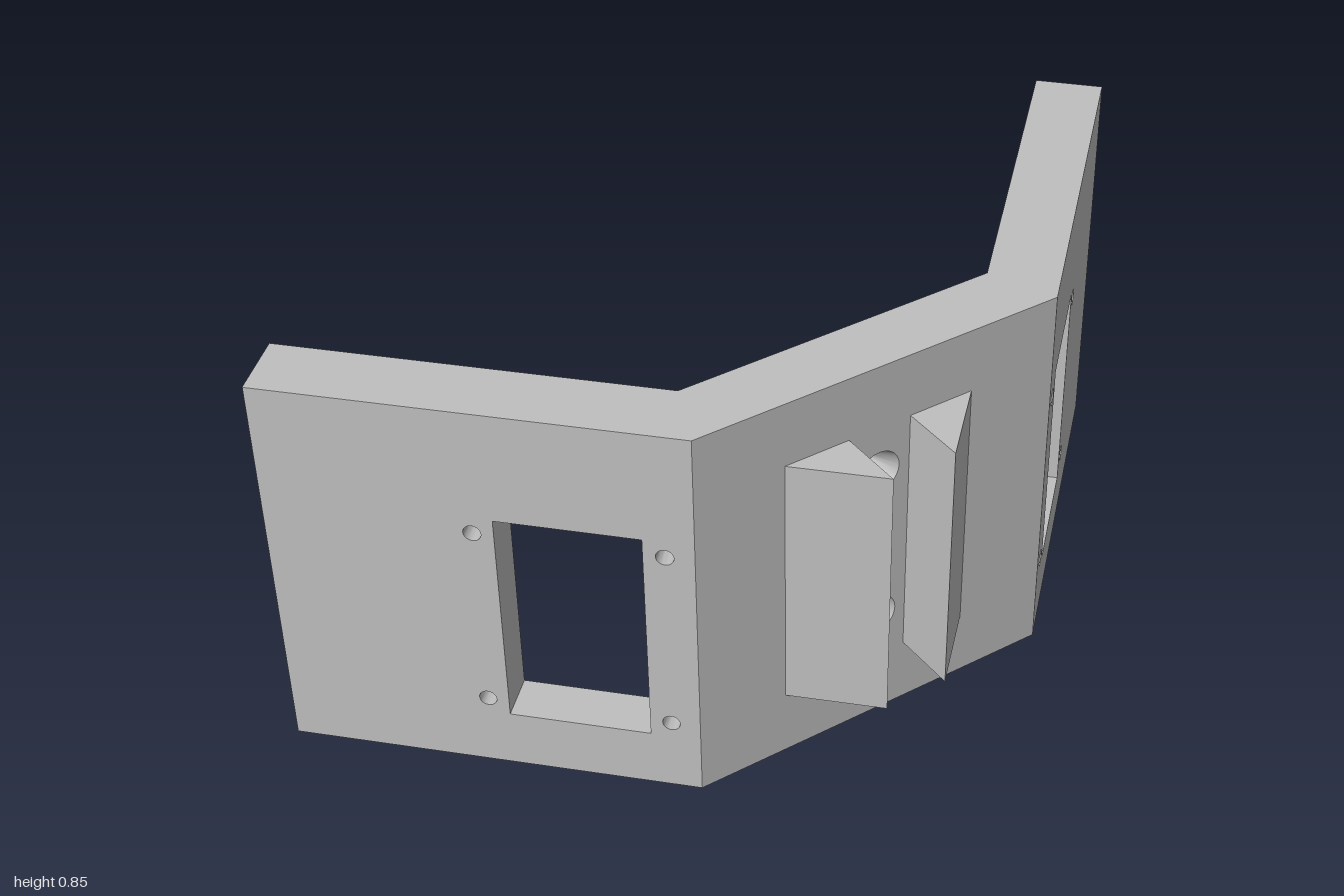
import * as THREE from 'three';
import { mergeGeometries, toCreasedNormals } from 'three/addons/utils/BufferGeometryUtils.js';

const H = 0.85, T = 0.142;        // plate height and thickness
const WING = 0.834, MITRE = 0.058; // wing length outside, and start of its inner face
const FRONT = 0.275;

const rectPoints = (x0, y0, x1, y1) => [[x0, y0], [x1, y0], [x1, y1], [x0, y1]].map(p => new THREE.Vector2(...p));
const circlePoints = (x, y, r, n = 24) => Array.from({ length: n }, (_, i) => {
  const a = i / n * Math.PI * 2;
  return new THREE.Vector2(x + r * Math.cos(a), y + r * Math.sin(a));
});

// Flat face with openings, facing +z
function face(points, holes = []) {
  const s = new THREE.Shape(points);
  holes.forEach(h => s.holes.push(new THREE.Path(h)));
  return new THREE.ShapeGeometry(s);
}

// Reverse the facing of an indexed geometry
function flip(g) {
  const a = g.index.array;
  for (let i = 0; i < a.length; i += 3) [a[i], a[i + 1]] = [a[i + 1], a[i]];
  return g;
}

// Inner walls of an opening, lofted through [points, depth] rings
function bore(rings) {
  const n = rings[0][0].length, pos = [], idx = [];
  rings.forEach(([pts, d]) => pts.forEach(p => pos.push(p.x, p.y, -d)));
  for (let k = 0; k < rings.length - 1; k++) for (let j = 0; j < n; j++) {
    const a = k * n + j, b = k * n + (j + 1) % n;
    idx.push(a, b, b + n, a, b + n, a + n);
  }
  const g = new THREE.BufferGeometry();
  g.setAttribute('position', new THREE.Float32BufferAttribute(pos, 3));
  g.setIndex(idx);
  return g;
}

const blindHole = (x, y, r, depth) => bore([
  [circlePoints(x, y, r), 0], [circlePoints(x, y, r), depth], [circlePoints(x, y, 0.0005), depth + 0.008]]);

function join(list) {
  list.forEach(g => { g.deleteAttribute('normal'); g.deleteAttribute('uv'); });
  return mergeGeometries(list);
}

// Angled wing with a window bevelled at the back, screw holes and end holes
function wingGeometry() {
  const r = 0.0175, b = 0.04;
  const win = rectPoints(0.099, 0.128, 0.382, 0.61);
  const winBack = rectPoints(0.099 - b, 0.128 - b, 0.382 + b, 0.61 + b);
  const screws = [0.057, 0.424].flatMap(u => [0.163, 0.575].map(y => [u, y]));
  const ends = [0.213, 0.638].map(y => [T / 2, y]);
  const endParts = [
    face(rectPoints(0, 0, T, H), ends.map(e => circlePoints(...e, r))),
    ...ends.map(e => blindHole(...e, r, 0.1))
  ].map(g => g.rotateY(Math.PI / 2).translate(WING, 0, 0));
  return join([
    face(rectPoints(0, 0, WING, H), [win, ...screws.map(s => circlePoints(...s, r))]),
    flip(face(rectPoints(MITRE, 0, WING, H), [winBack])).translate(0, 0, -T),
    bore([[win, 0], [win, 0.1], [winBack, T]]),
    ...screws.map(s => blindHole(...s, r, 0.06)),
    ...endParts
  ]).rotateY(Math.PI / 4).translate(0.41, 0, FRONT);
}

// Centre panel with two through holes, countersunk on both sides
function panelGeometry() {
  const ys = [0.25, 0.605], R = 0.047, r = 0.02, c = 0.045;
  const rims = ys.map(y => circlePoints(0, y, R));
  return join([
    face(rectPoints(-0.41, 0, 0.41, H), rims).translate(0, 0, FRONT),
    flip(face(rectPoints(-0.35, 0, 0.35, H), rims)).translate(0, 0, FRONT - T),
    ...ys.map(y => bore([[R, 0], [r, c], [r, T - c], [R, T]]
      .map(([rad, d]) => [circlePoints(0, y, rad), d])).translate(0, 0, FRONT))
  ]);
}

// Top or bottom face following the bent outline
function outlineGeometry() {
  const half = [[0.41, 0.275], [1, -0.315], [0.9, -0.417], [0.35, 0.133]];
  const all = [...half, ...half.map(([x, z]) => [-x, z]).reverse()];
  return face(all.map(([x, z]) => new THREE.Vector2(x, -z))).rotateX(-Math.PI / 2);
}

export function createModel() {
  const group = new THREE.Group();
  const grey = new THREE.MeshStandardMaterial({ color: 0xbfbfbf });
  grey.name = 'grey';
  const add = (name, geo) => {
    const mesh = new THREE.Mesh(toCreasedNormals(geo, 0.6), grey);
    mesh.name = name;
    group.add(mesh);
  };

  add('centrePanel', panelGeometry());
  add('topFace', outlineGeometry().translate(0, H, 0));
  add('bottomFace', flip(outlineGeometry()));
  add('leftWing', wingGeometry());
  add('rightWing', flip(wingGeometry().scale(-1, 1, 1)));

  // Triangular ribs on the front
  for (const [name, s] of [['leftRib', 1], ['rightRib', -1]]) {
    const tri = [[0.07, FRONT], [0.213, FRONT], [0.07, 0.417]].map(([x, z]) => new THREE.Vector2(s * x, -z));
    add(name, new THREE.ExtrudeGeometry(new THREE.Shape(tri), { depth: 0.565, bevelEnabled: false })
      .rotateX(-Math.PI / 2).translate(0, 0.145, 0));
  }
  return group;
}
